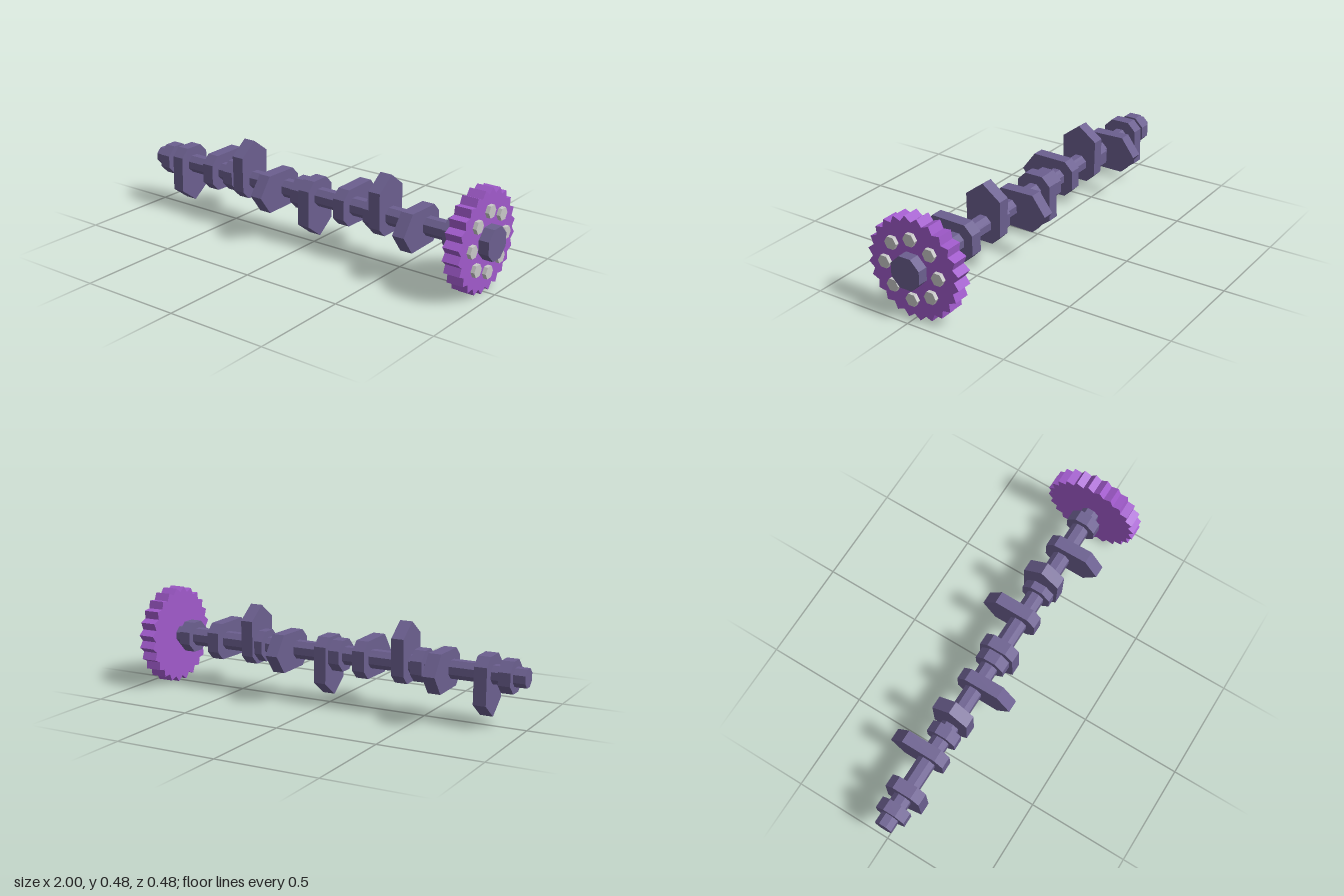
import * as THREE from 'three';

const AXIS_Y = 0.242;

// Regular outline; radius may alternate per corner
function ring(sides, radiusAt, startAngle = 0) {
  return Array.from({ length: sides }, (_, i) => {
    const a = startAngle + (i / sides) * Math.PI * 2;
    const r = radiusAt(i);
    return new THREE.Vector2(Math.cos(a) * r, Math.sin(a) * r);
  });
}

// Outline swept along x from x0 to x1
function prism(name, points, x0, x1, material) {
  const geometry = new THREE.ExtrudeGeometry(new THREE.Shape(points), {
    depth: x1 - x0, bevelEnabled: false,
  });
  geometry.rotateY(Math.PI / 2);
  const mesh = new THREE.Mesh(geometry, material);
  mesh.name = name;
  mesh.position.x = x0;
  return mesh;
}

export function createModel() {
  const steel = new THREE.MeshStandardMaterial({ name: 'violet steel', color: 0x6b5f8f });
  const purple = new THREE.MeshStandardMaterial({ name: 'gear purple', color: 0xa05acb });
  const silver = new THREE.MeshStandardMaterial({ name: 'bolt silver', color: 0xc8c8c8 });

  const model = new THREE.Group();
  model.name = 'camshaft';
  const turning = new THREE.Group();
  turning.name = 'shaftAssembly';
  turning.position.y = AXIS_Y;
  model.add(turning);

  // Octagonal shaft, flat side up
  const octagon = (apothem) => ring(8, () => apothem / Math.cos(Math.PI / 8), Math.PI / 8);
  turning.add(prism('shaft', octagon(0.043), -1, 0.96, steel));

  // Bearing journals and the end hub
  for (let i = 0; i < 5; i++) {
    const x = -0.913 + i * 0.427;
    turning.add(prism('journal', octagon(0.075), x - 0.029, x + 0.029, steel));
  }
  turning.add(prism('endHub', octagon(0.075), 0.94, 1, steel));

  // Cam lobes: chamfered base, straight flanks, ridged nose
  const half = [[0.048, -0.088], [0.09, -0.046], [0.093, 0.13]];
  const lobePoints = [
    ...half, [0, 0.199], ...half.map(([x, y]) => [-x, y]).reverse(),
  ].map(([x, y]) => new THREE.Vector2(x, y));
  const directions = [Math.PI, -Math.PI / 2, 0, Math.PI / 2];
  for (let i = 0; i < 8; i++) {
    const x = -0.807 + i * 0.2032;
    const lobe = prism('camLobe', lobePoints, x - 0.031, x + 0.031, steel);
    lobe.rotation.x = directions[i % 4];
    turning.add(lobe);
  }

  // Timing gear with 24 pointed teeth
  const teeth = ring(48, (i) => (i % 2 ? 0.2435 : 0.218));
  turning.add(prism('timingGear', teeth, 0.868, 0.949, purple));

  // Ring of hexagonal bolts on the gear face
  const hexagon = ring(6, () => 0.032);
  for (let i = 0; i < 8; i++) {
    const a = (i / 8) * Math.PI * 2;
    const bolt = prism('bolt', hexagon, 0.945, 0.968, silver);
    bolt.position.y = Math.sin(a) * 0.143;
    bolt.position.z = Math.cos(a) * 0.143;
    turning.add(bolt);
  }

  return model;
}
